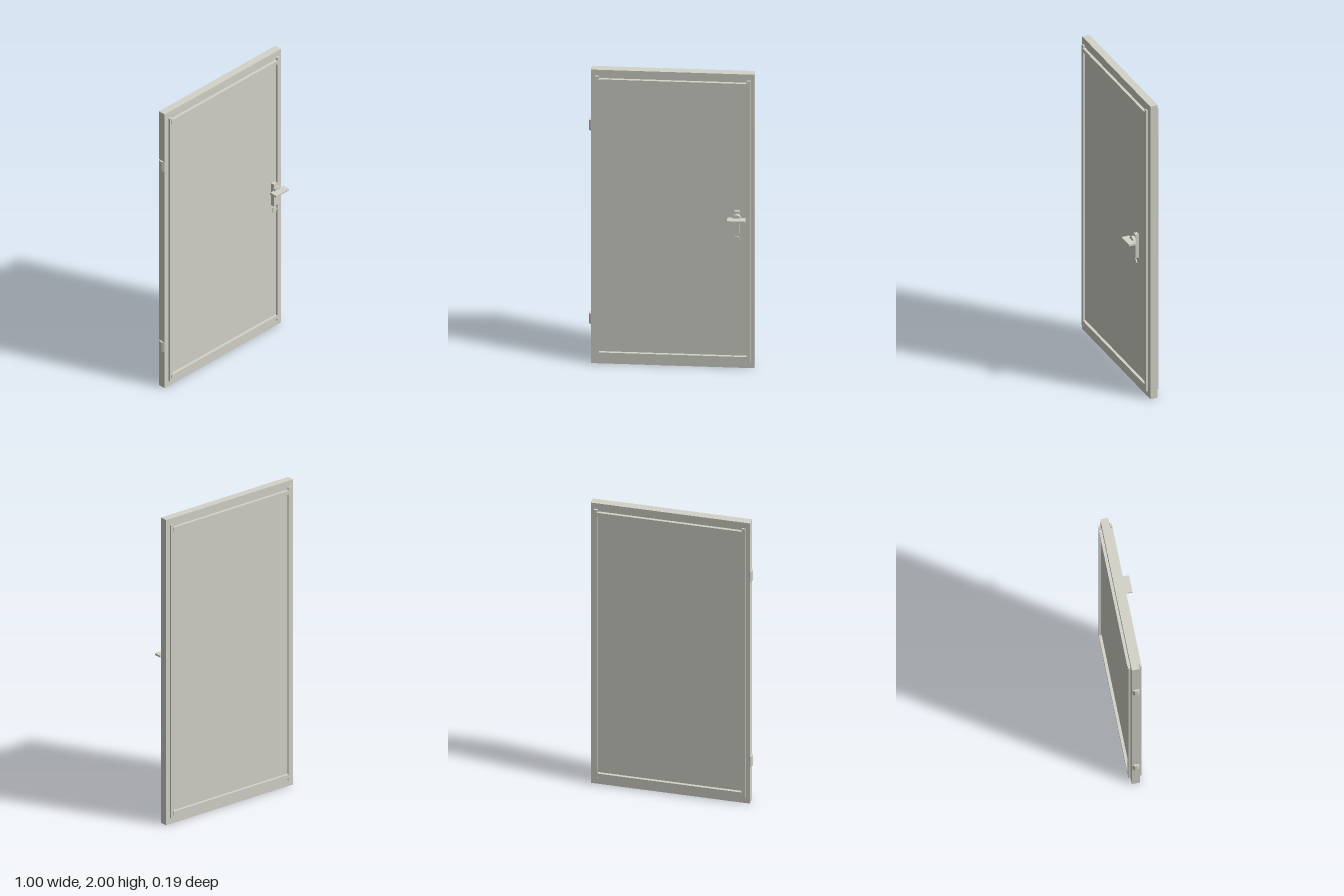
import * as THREE from 'three';

export function createModel() {
  const door = new THREE.Group();
  door.name = 'door';
  const paint = new THREE.MeshStandardMaterial({ color: 0xd3d3ca });
  paint.name = 'pale warm grey';

  const add = (name, geometry, parent = door) => {
    const mesh = new THREE.Mesh(geometry, paint);
    mesh.name = name;
    parent.add(mesh);
    return mesh;
  };
  // box given by its limits on each axis
  const box = (name, [x0, x1], [y0, y1], [z0, z1], parent) => {
    const mesh = add(name, new THREE.BoxGeometry(x1 - x0, y1 - y0, z1 - z0), parent);
    mesh.position.set((x0 + x1) / 2, (y0 + y1) / 2, (z0 + z1) / 2);
  };

  // door leaf
  const midZ = -0.05;
  box('leaf', [-0.488, 0.5], [0, 2], [midZ - 0.0245, midZ + 0.0245]);

  // trim frame on both faces: side strips and cross rails
  for (const side of [1, -1]) {
    const trim = new THREE.Group();
    trim.name = side > 0 ? 'frontTrim' : 'backTrim';
    trim.position.z = midZ;
    door.add(trim);
    const span = (a, b) => (side > 0 ? [a, b] : [-b, -a]);
    box('rightStrip', [-0.461, -0.439], [0.045, 1.963], span(0.029, 0.041), trim);
    box('leftStrip', [0.454, 0.476], [0.045, 1.963], span(0.029, 0.041), trim);
    for (const y of [0.071, 1.932]) {
      box('crossRail', [-0.445, 0.46], [y - 0.0125, y + 0.0125], span(0.024, 0.0425), trim);
    }
  }

  // hinge knuckles with chamfered outer edge
  const knuckle = new THREE.Shape(
    [[-0.48, -0.022], [-0.489, -0.022], [-0.5, -0.008], [-0.5, 0.008], [-0.489, 0.022], [-0.48, 0.022]]
      .map(([x, z]) => new THREE.Vector2(x, z)).reverse());
  for (const y of [0.263, 1.581]) {
    const hinge = add('hinge', new THREE.ExtrudeGeometry(knuckle, { depth: 0.07, bevelEnabled: false }));
    hinge.rotation.x = -Math.PI / 2;
    hinge.position.set(0, y, midZ);
  }

  // handle set
  const handle = new THREE.Group();
  handle.name = 'handle';
  door.add(handle);
  box('backplate', [0.382, 0.412], [0.935, 1.094], [0.01, 0.033], handle);
  box('lever', [0.342, 0.452], [1.047, 1.059], [0.043, 0.093], handle);
  const disc = (name, radius, depth, sides, y, z) => {
    const geometry = new THREE.CylinderGeometry(radius, radius, depth, sides).toNonIndexed();
    geometry.computeVertexNormals();
    const mesh = add(name, geometry, handle);
    mesh.rotation.set(Math.PI / 2, Math.PI / 2, 0);
    mesh.position.set(0.397, y, z);
  };
  disc('rose', 0.028, 0.02, 8, 1.053, 0.043);
  disc('keyholeCover', 0.021, 0.006, 6, 0.902, 0.025);

  return door;
}
